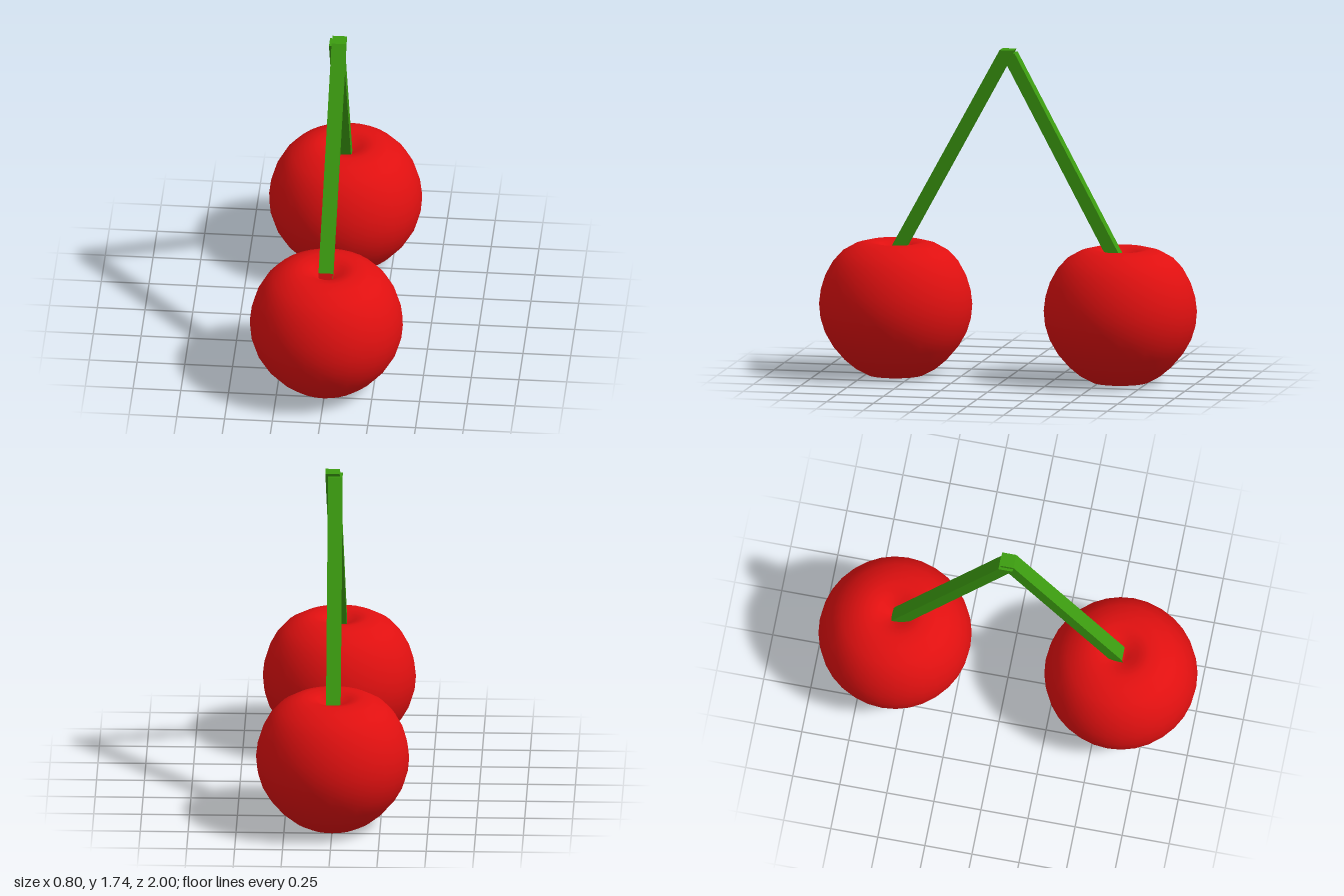
import * as THREE from 'three';

const red = new THREE.MeshStandardMaterial({ color: 0xe01010 });
red.name = 'cherry red';
const green = new THREE.MeshStandardMaterial({ color: 0x3c9c10 });
green.name = 'stem green';

// Fruit profile from the lower dimple round to the upper dimple
const profile = [
  [0, 0.06], [0.04, 0.05], [0.09, 0.018], [0.15, 0.003], [0.21, 0.035], [0.27, 0.085],
  [0.33, 0.155], [0.37, 0.225], [0.393, 0.3], [0.4, 0.375], [0.391, 0.45], [0.368, 0.525],
  [0.33, 0.595], [0.28, 0.65], [0.215, 0.687], [0.15, 0.704], [0.09, 0.692], [0.04, 0.655], [0, 0.642],
].map(([r, y]) => new THREE.Vector2(r, y));

function makeFruit(name, z) {
  const fruit = new THREE.Mesh(new THREE.LatheGeometry(profile, 32), red);
  fruit.name = name;
  fruit.position.z = z;
  return fruit;
}

// Square stem swept through three level sections, given top to bottom as [x, y, z]
function makeStem(name, sections, footMaterial) {
  const size = 0.075;
  const box = new THREE.BoxGeometry(size, 2, size, 1, 2, 1);
  const pos = box.attributes.position;
  for (let i = 0; i < pos.count; i++) {
    const [x, y, z] = sections[1 - Math.round(pos.getY(i))];
    pos.setXYZ(i, pos.getX(i) + x, y, pos.getZ(i) + z);
  }
  // The lower half of the front side takes the foot material
  box.clearGroups();
  box.addGroup(0, 42, 0);
  box.addGroup(42, 6, 1);
  box.addGroup(48, 12, 0);
  const geometry = box.toNonIndexed();
  geometry.computeVertexNormals();
  const stem = new THREE.Mesh(geometry, [green, footMaterial]);
  stem.name = name;
  return stem;
}

export function createModel() {
  const model = new THREE.Group();
  model.name = 'cherryPair';
  model.add(
    makeFruit('frontCherry', 0.6),
    makeFruit('backCherry', -0.6),
    makeStem('frontStem', [[0.017, 1.74, -0.004], [-0.003, 0.685, 0.576], [-0.003, 0.63, 0.587]], red),
    makeStem('backStem', [[0.003, 1.722, -0.007], [-0.003, 0.685, -0.56], [-0.003, 0.63, -0.587]], green),
  );
  return model;
}
